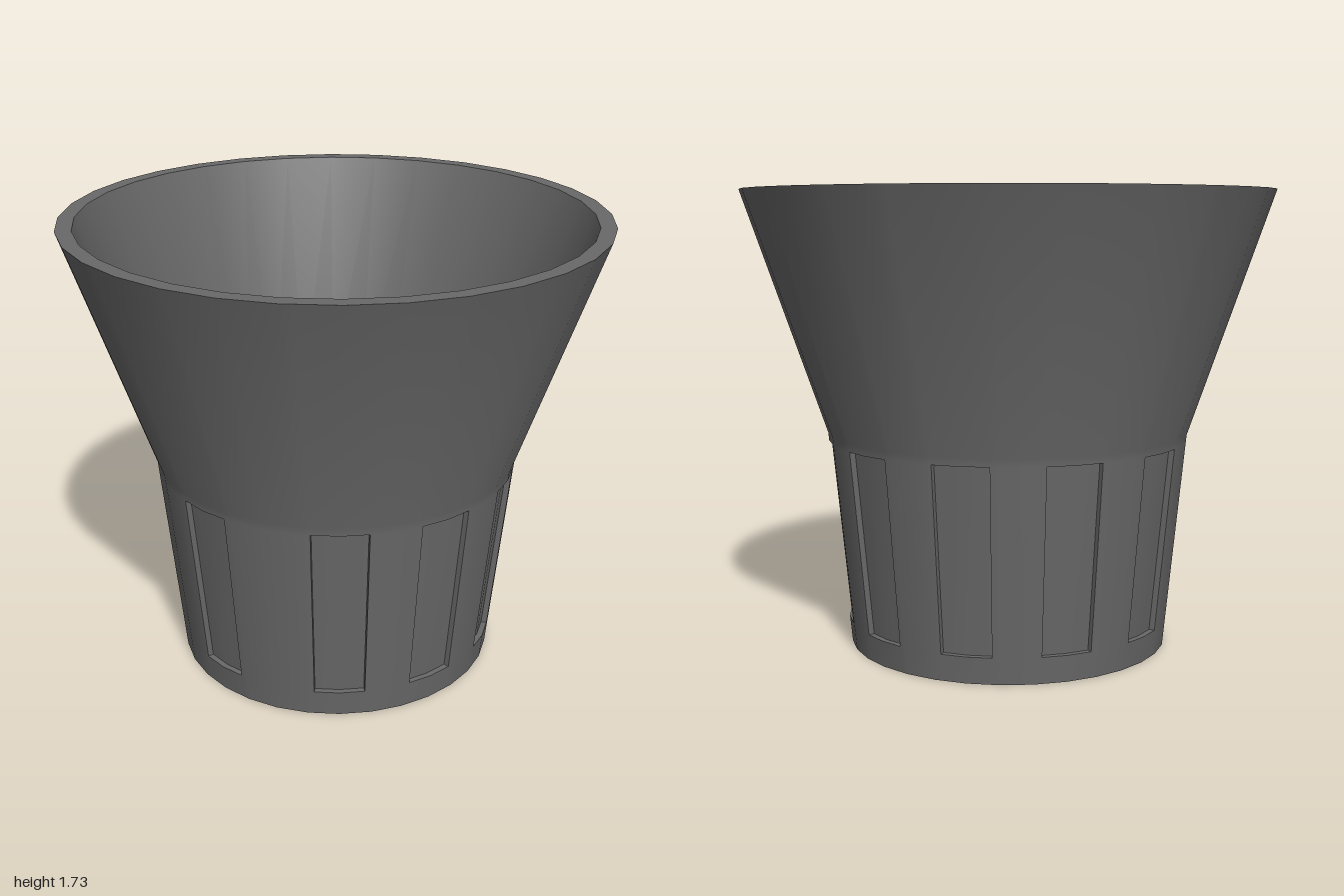
import * as THREE from 'three';
import { toCreasedNormals } from 'three/addons/utils/BufferGeometryUtils.js';

const SIDES = 32, STEP = 360 / SIDES;
const SLOT_HALF = 8.7, SLOT_DEPTH = 0.022, SLOT_LOW = 0.1, SLOT_HIGH = 0.79;
const BASE_R = 0.61, WAIST_R = 0.69, WAIST_Y = 0.82, TOP_Y = 1.73;
const FLOOR_R = 0.588, FLOOR_Y = 0.32;
// facet corners on which the slots are centred
const SLOT_CORNERS = [3, 6, 9, 12, 15, 18, 21, 24, 27, 31];

const wallRadius = (y) => BASE_R + (WAIST_R - BASE_R) * y / WAIST_Y;

// point at an angle in degrees (0 = front) on the 32-sided outline
function ringPoint(angle, [r, y]) {
  const fromMiddle = angle - (Math.floor(angle / STEP + 1e-6) + 0.5) * STEP;
  const rad = THREE.MathUtils.degToRad(angle);
  const k = r * Math.cos(Math.PI / SIDES) / Math.cos(THREE.MathUtils.degToRad(fromMiddle));
  return [k * Math.sin(rad), y, k * Math.cos(rad)];
}

function quadBuilder() {
  const positions = [];
  return {
    quad(a, b, c, d) { positions.push(...a, ...b, ...c, ...a, ...c, ...d); },
    build() {
      const g = new THREE.BufferGeometry();
      g.setAttribute('position', new THREE.Float32BufferAttribute(positions, 3));
      return toCreasedNormals(g, THREE.MathUtils.degToRad(30));
    },
  };
}

// sweep a profile of [radius, height] between two angles
function sweep(out, a0, a1, profile) {
  for (let i = 0; i < profile.length - 1; i++) {
    const p = profile[i], q = profile[i + 1];
    out.quad(ringPoint(a0, p), ringPoint(a1, p), ringPoint(a1, q), ringPoint(a0, q));
  }
}

export function createModel() {
  const group = new THREE.Group();
  const grey = new THREE.MeshStandardMaterial({ color: 0x696969 });
  grey.name = 'dark grey';
  const add = (name, geometry) => {
    const mesh = new THREE.Mesh(geometry, grey);
    mesh.name = name;
    group.add(mesh);
    return mesh;
  };

  // profile pieces
  const lowR = wallRadius(SLOT_LOW), highR = wallRadius(SLOT_HIGH);
  const bottom = [BASE_R, 0], low = [lowR, SLOT_LOW], high = [highR, SLOT_HIGH];
  const lowIn = [lowR - SLOT_DEPTH, SLOT_LOW], highIn = [highR - SLOT_DEPTH, SLOT_HIGH];
  const upper = [[WAIST_R, WAIST_Y], [1, TOP_Y]];
  const lining = [[1, TOP_Y], [0.941, TOP_Y], [0.637, 0.835], [FLOOR_R, FLOOR_Y]];

  // angles: every facet corner plus both edges of every slot
  const angles = [];
  for (let i = 0; i <= SIDES; i++) angles.push(i * STEP);
  for (const c of SLOT_CORNERS) angles.push(c * STEP - SLOT_HALF, c * STEP + SLOT_HALF);
  angles.sort((a, b) => a - b);

  const wall = quadBuilder(), pockets = quadBuilder(), inside = quadBuilder();
  for (let i = 0; i < angles.length - 1; i++) {
    const a0 = angles[i], a1 = angles[i + 1], mid = (a0 + a1) / 2;
    const inSlot = SLOT_CORNERS.some((c) => Math.abs(mid - c * STEP) < SLOT_HALF);
    sweep(wall, a0, a1, [bottom, low]);
    if (inSlot) sweep(pockets, a0, a1, [low, lowIn, highIn, high]);
    else sweep(wall, a0, a1, [low, high]);
    sweep(wall, a0, a1, [high, ...upper]);
  }

  // side walls of the slots
  for (const c of SLOT_CORNERS) {
    const a = c * STEP - SLOT_HALF, b = c * STEP + SLOT_HALF;
    pockets.quad(...[low, lowIn, highIn, high].map((p) => ringPoint(a, p)));
    pockets.quad(...[high, highIn, lowIn, low].map((p) => ringPoint(b, p)));
  }

  // rim and inner wall
  for (let i = 0; i < SIDES; i++) sweep(inside, i * STEP, (i + 1) * STEP, lining);

  add('outerWall', wall.build());
  add('recessedSlots', pockets.build());
  add('rimAndInnerWall', inside.build());

  // inner floor and underside
  const floor = add('innerFloor', new THREE.CircleGeometry(FLOOR_R, SIDES));
  floor.rotation.x = -Math.PI / 2;
  floor.position.y = FLOOR_Y;
  add('underside', new THREE.CircleGeometry(BASE_R, SIDES)).rotation.x = Math.PI / 2;

  return group;
}
